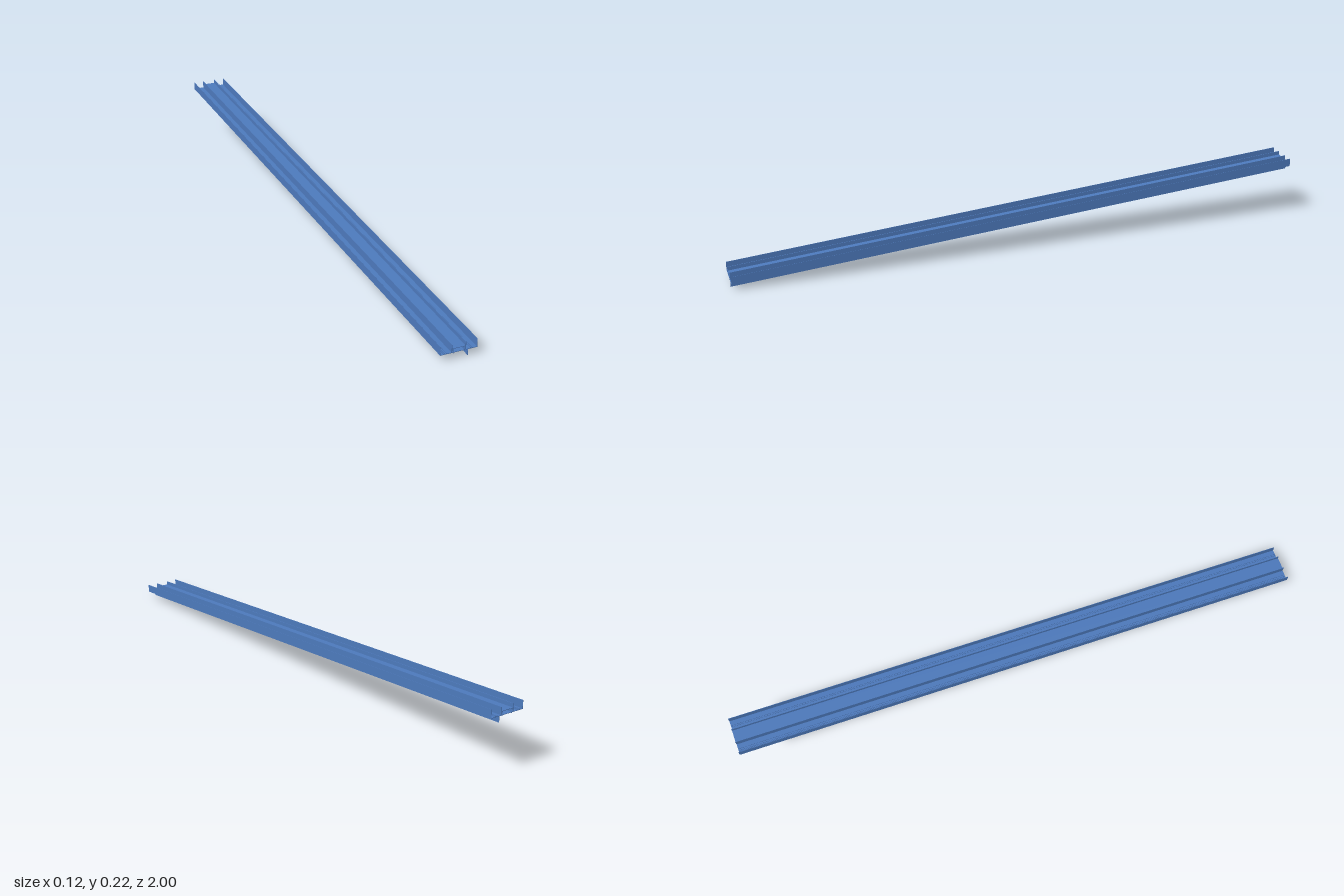
import * as THREE from 'three';

const LENGTH = 2;
const SLOPE = 0.0835; // rise per unit of length towards the back

export function createModel() {
  const group = new THREE.Group();
  group.name = 'slopedChannelRail';
  const blue = new THREE.MeshStandardMaterial({ color: 0x4d7abd });
  blue.name = 'blue';

  // Shear that lifts the back end while the ends stay vertical
  const shear = new THREE.Matrix4().set(
    1, 0, 0, 0,
    0, 1, -SLOPE, SLOPE,
    0, 0, 1, 0,
    0, 0, 0, 1
  );

  // Full-length strip given by its cross-section limits
  function strip(name, x0, x1, y0, y1) {
    const geo = new THREE.BoxGeometry(x1 - x0, y1 - y0, LENGTH);
    geo.translate((x0 + x1) / 2, (y0 + y1) / 2, 0);
    geo.applyMatrix4(shear);
    const mesh = new THREE.Mesh(geo, blue);
    mesh.name = name;
    group.add(mesh);
  }

  // Thin floor
  strip('floor', -0.062, 0.061, 0.02, 0.0215);

  // Tall outer flanges
  strip('rightFlange', -0.062, -0.061, 0.0215, 0.048);
  strip('leftFlange', 0.06, 0.061, 0.0215, 0.048);

  // Inner fins, with the raised plate and its supporting walls between them
  strip('rightFin', -0.0245, -0.0225, 0.0215, 0.047);
  strip('leftFin', 0.0215, 0.0235, 0.0215, 0.047);
  strip('raisedPlate', -0.0225, 0.0215, 0.0325, 0.034);
  for (const x of [-0.019, 0.018]) {
    strip('plateWall', x - 0.0007, x + 0.0007, 0.0215, 0.0325);
    strip('undersideRib', x - 0.0007, x + 0.0007, 0.018, 0.02);
  }

  // Low ribs on the floor
  for (const x of [-0.051, -0.047, -0.041, 0.039, 0.044]) {
    strip('floorRib', x - 0.0007, x + 0.0007, 0.0215, 0.024);
  }

  // Single leg hanging below the floor
  strip('lowerLeg', 0.0295, 0.0308, 0, 0.02);

  return group;
}
